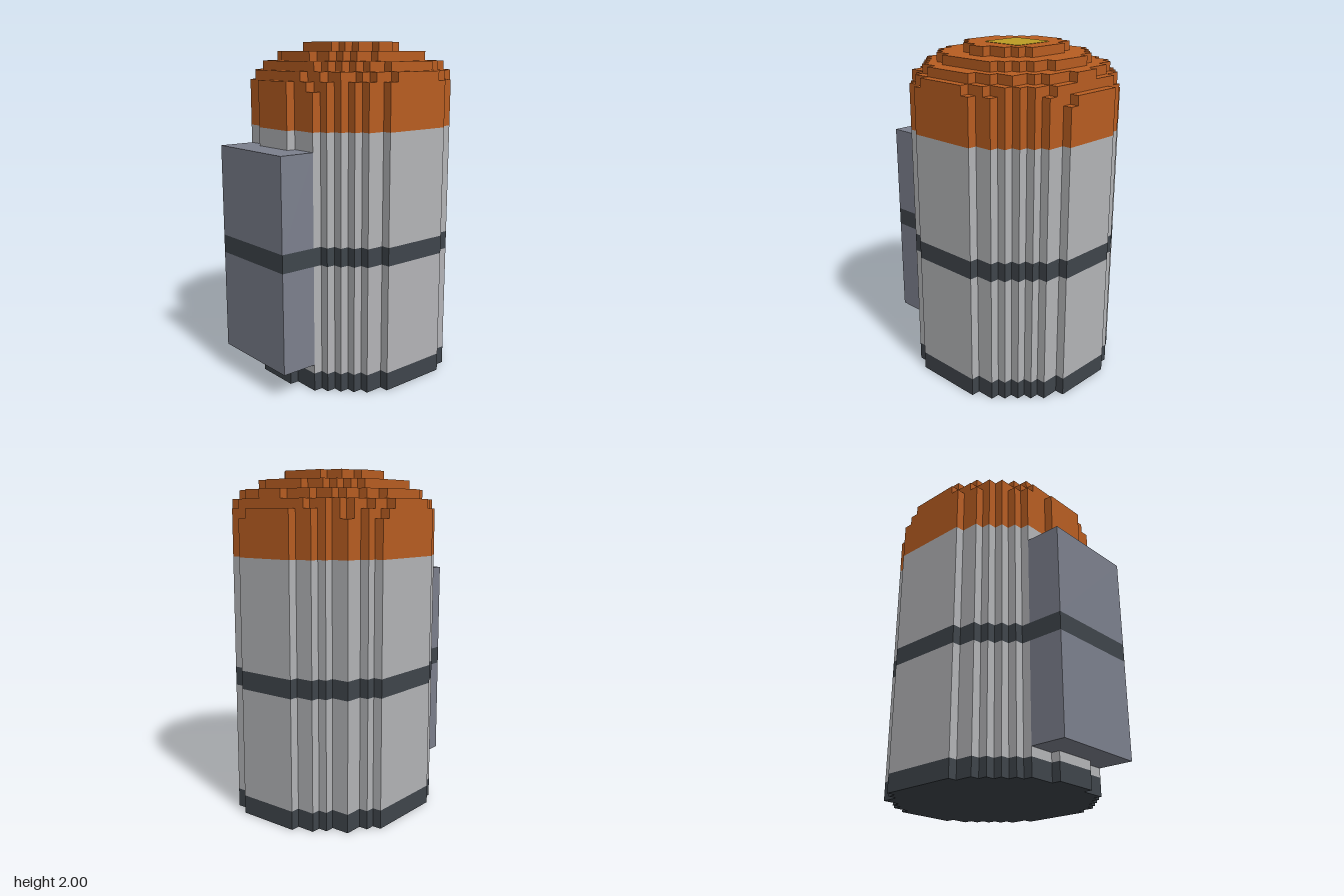
import * as THREE from 'three';

const U = 2 / 37; // one block
const CX = 14.1, CZ = 10.45; // cylinder axis, in blocks

const mat = (name, color) => {
  const m = new THREE.MeshStandardMaterial({ color });
  m.name = name;
  return m;
};

// Block coordinates to model coordinates
const bx = i => (i - 12.5) * U;
const bz = k => (k - 10.5) * U;

// Stepped disc: every block whose centre lies within the squared radius
function steppedDisc(r2) {
  const right = [], left = [];
  for (let k = 0; k < 21; k++) {
    const w2 = r2 - (k + 0.5 - CZ) ** 2;
    if (w2 <= 0) continue;
    const w = Math.sqrt(w2);
    const x0 = Math.ceil(CX - w - 0.5), x1 = Math.floor(CX + w + 0.5);
    right.push([x1, k], [x1, k + 1]);
    left.push([x0, k], [x0, k + 1]);
  }
  // Keep only the corners of the outline
  const corners = [...right, ...left.reverse()].filter(([x, z], i, all) => {
    const [px, pz] = all.at(i - 1), [nx, nz] = all[(i + 1) % all.length];
    return (x !== px || z !== pz) && !(px === x && x === nx && nz !== z);
  });
  return new THREE.Shape(corners.map(([x, z]) => new THREE.Vector2(bx(x), -bz(z))));
}

// Raise a floor-plan shape between two heights
function slab(name, shape, y0, y1, material) {
  const g = new THREE.ExtrudeGeometry(shape, { depth: y1 - y0, bevelEnabled: false, curveSegments: 3 });
  g.rotateX(-Math.PI / 2);
  g.translate(0, y0, 0);
  const m = new THREE.Mesh(g, material);
  m.name = name;
  return m;
}

// Block-aligned box on the right side, between two block heights
function sideBox(name, y0, y1, material) {
  const g = new THREE.BoxGeometry(4 * U, (y1 - y0) * U, 11 * U);
  g.translate(bx(2), (y0 + y1) / 2 * U, 0);
  const m = new THREE.Mesh(g, material);
  m.name = name;
  return m;
}

export function createModel() {
  const group = new THREE.Group();
  group.name = 'tank';
  const grey = mat('light grey', 0xb3b4b7);
  const dark = mat('dark slate', 0x3f454b);
  const orange = mat('burnt orange', 0xb85d21);
  const steel = mat('blue grey', 0x7c808d);
  const yellow = mat('mustard', 0xbc9d24);

  // Cylinder in coloured bands
  const plan = steppedDisc(118.6);
  group.add(
    slab('baseBand', plan, 0, 2 * U, dark),
    slab('lowerBody', plan, 2 * U, 14 * U, grey),
    slab('middleBand', plan, 14 * U, 16 * U, dark),
    slab('upperBody', plan, 16 * U, 28 * U, grey),
    slab('capWall', plan, 28 * U, 32 * U, orange),
  );

  // Domed cap, one block per layer
  [117.2, 108, 91, 62.4, 27.2].forEach((r2, i) =>
    group.add(slab('capLayer' + (i + 1), steppedDisc(r2), (32 + i) * U, (33 + i) * U, orange)));

  // Rounded hatch plate on the crown
  const hatch = new THREE.Shape();
  const x0 = bx(12), x1 = bx(17), z = 2.5 * U, r = 0.02;
  hatch.absarc(x1 - r, z - r, r, 0, Math.PI / 2);
  hatch.absarc(x0 + r, z - r, r, Math.PI / 2, Math.PI);
  hatch.absarc(x0 + r, r - z, r, Math.PI, Math.PI * 1.5);
  hatch.absarc(x1 - r, r - z, r, Math.PI * 1.5, Math.PI * 2);
  group.add(slab('hatchPlate', hatch, 1.999, 2.002, yellow));

  // Side box with the middle band wrapped around it
  group.add(
    sideBox('sideBoxLower', 3, 14, steel),
    sideBox('sideBoxBand', 14, 16, dark),
    sideBox('sideBoxUpper', 16, 26, steel),
  );
  return group;
}
